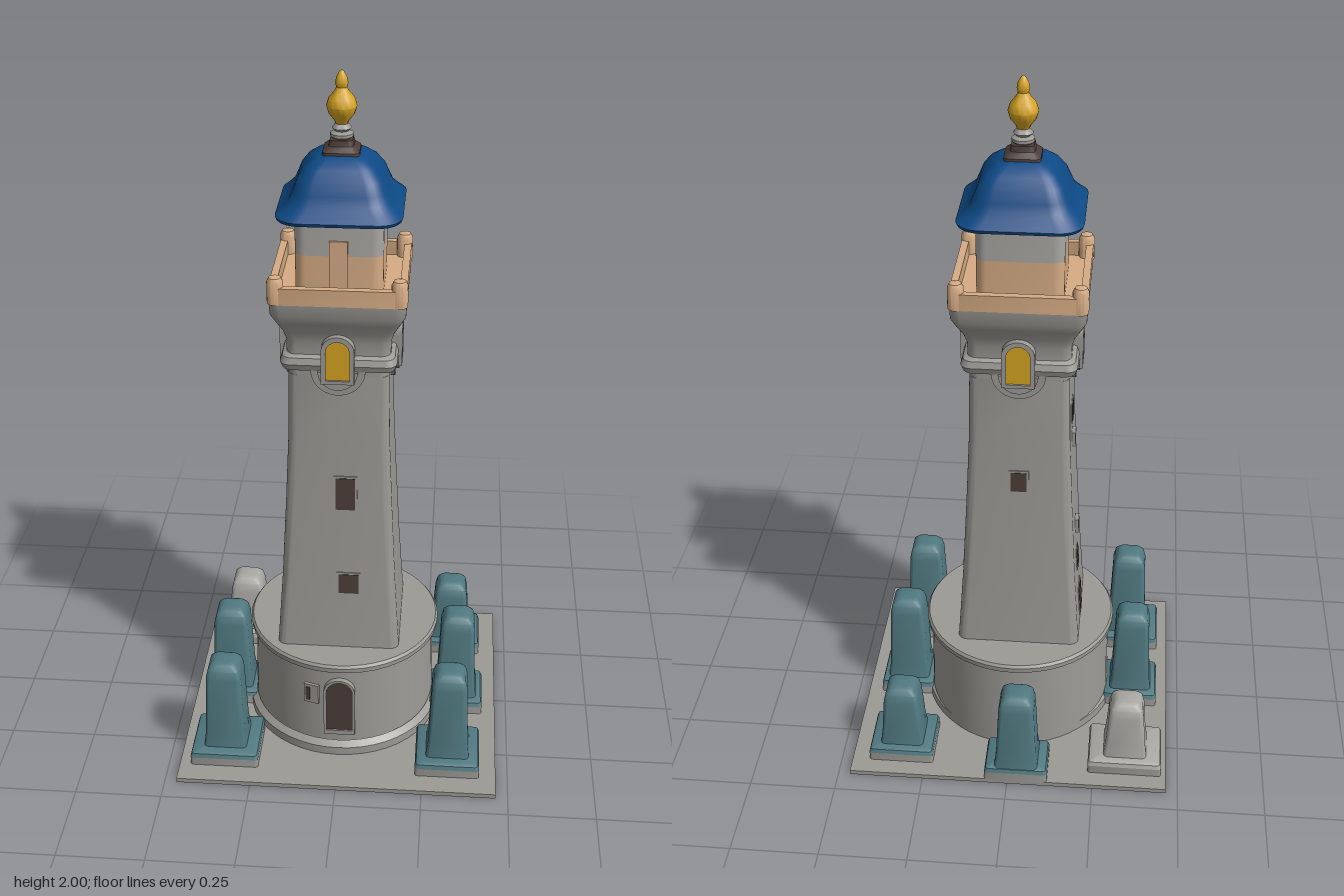
import * as THREE from 'three';
import { toCreasedNormals } from 'three/addons/utils/BufferGeometryUtils.js';

const mat = (name, color, side = THREE.FrontSide) => {
  const m = new THREE.MeshStandardMaterial({ color, side });
  m.name = name;
  return m;
};

// Stack of rounded squares: sections are [half width, y, corner radius, half depth]
function loft(sections, n = 6) {
  const pos = [], idx = [], count = 4 * (n + 1);
  for (const [hx, y, r, hz = hx] of sections) {
    for (let c = 0; c < 4; c++) {
      const sx = c === 0 || c === 3 ? 1 : -1, sz = c < 2 ? 1 : -1;
      for (let i = 0; i <= n; i++) {
        const a = (c + i / n) * Math.PI / 2;
        pos.push(sx * (hx - r) + r * Math.cos(a), y, sz * (hz - r) + r * Math.sin(a));
      }
    }
  }
  const last = sections.length - 1;
  for (let s = 0; s < last; s++) {
    for (let j = 0; j < count; j++) {
      const k = (j + 1) % count, b = s * count, t = b + count;
      idx.push(b + j, t + j, b + k, b + k, t + j, t + k);
    }
  }
  const base = pos.length / 3;
  pos.push(0, sections[0][1], 0, 0, sections[last][1], 0);
  for (let j = 0; j < count; j++) {
    const k = (j + 1) % count;
    idx.push(base, j, k, base + 1, last * count + k, last * count + j);
  }
  const g = new THREE.BufferGeometry();
  g.setAttribute('position', new THREE.Float32BufferAttribute(pos, 3));
  g.setIndex(idx);
  return toCreasedNormals(g, 0.6);
}

const lathe = (points, seg = 48) =>
  toCreasedNormals(new THREE.LatheGeometry(points.map(p => new THREE.Vector2(...p)), seg), 0.6);

// Upright arch outline, standing on y = y0
function archPath(w, y0, h, Type = THREE.Shape) {
  const p = new Type();
  p.moveTo(-w, y0);
  p.lineTo(w, y0);
  p.lineTo(w, y0 + h - w);
  p.absarc(0, y0 + h - w, w, 0, Math.PI, false);
  p.lineTo(-w, y0);
  return p;
}
const extrude = (shape, depth) =>
  new THREE.ExtrudeGeometry(shape, { depth, bevelEnabled: false, curveSegments: 12 });

export function createModel() {
  const model = new THREE.Group();
  model.name = 'lighthouse';
  const stone = mat('stone grey', 0x9c9a95);
  const pale = mat('pale stone', 0xa9a7a3);
  const teal = mat('teal', 0x507880);
  const blue = mat('roof blue', 0x0d4a86);
  const gold = mat('gold', 0xd6a422);
  const tan = mat('sandy tan', 0xd6ac84);
  const brown = mat('dark brown', 0x4c3d38);

  const add = (parent, name, geo, material, x = 0, y = 0, z = 0) => {
    const m = new THREE.Mesh(geo, material);
    m.name = name;
    m.position.set(x, y, z);
    parent.add(m);
    return m;
  };

  // Ground slab and round drum
  add(model, 'groundSlab', new THREE.BoxGeometry(0.93, 0.014, 0.874), stone, 0, 0.007, 0);
  add(model, 'drumFoot', lathe([[0.288, 0.01], [0.288, 0.04], [0.27, 0.055]]), stone, -0.005, 0, 0.012);
  add(model, 'drum', lathe([[0.274, 0.01], [0.268, 0.29], [0.283, 0.3], [0.284, 0.315],
    [0.278, 0.323], [0, 0.323]]), stone, -0.005, 0, -0.008);

  // Entrance
  const doorFrame = archPath(0.046, 0.07, 0.2);
  doorFrame.holes.push(archPath(0.038, 0.085, 0.177, THREE.Path));
  add(model, 'doorFrame', extrude(doorFrame, 0.02), stone, 0, 0, 0.255);
  add(model, 'door', extrude(archPath(0.038, 0.085, 0.177), 0.009), brown, 0, 0, 0.261);
  const niche = new THREE.Group();
  niche.name = 'wallNiche';
  niche.position.set(-0.005, 0.205, -0.008);
  niche.rotation.y = -0.29;
  model.add(niche);
  add(niche, 'nicheFrame', new THREE.BoxGeometry(0.045, 0.065, 0.02), stone, 0, 0, 0.267);
  add(niche, 'nicheOpening', new THREE.BoxGeometry(0.012, 0.045, 0.004), brown, -0.01, 0, 0.278);

  // Tapering square tower with flared head
  const tower = new THREE.Group();
  tower.name = 'tower';
  tower.position.x = -0.011;
  model.add(tower);
  const taper = [[0.179, 0.31], [0.163, 0.55], [0.15, 0.8], [0.141, 1.0], [0.137, 1.2]];
  add(tower, 'shaft', loft(taper.map(([h, y]) => [h, y, 0.025])), stone);
  add(tower, 'head', loft([[0.137, 1.19], [0.137, 1.215], [0.152, 1.222], [0.158, 1.24], [0.152, 1.258],
    [0.141, 1.265], [0.141, 1.3], [0.15, 1.33], [0.168, 1.365], [0.18, 1.39], [0.182, 1.43]]
    .map(([h, y]) => [h, y, 0.028])), stone);

  // Gold windows on every side, with hood and apron
  const hood = archPath(0.045, 1.19, 0.14);
  hood.holes.push(archPath(0.032, 1.2, 0.116, THREE.Path));
  const apron = r => {
    const s = new THREE.Shape();
    s.absarc(0, 1.222, r, Math.PI, Math.PI * 2, false);
    return s;
  };
  const sides = [0, 1, 2, 3].map(k => {
    const side = new THREE.Group();
    side.name = ['frontWall', 'leftWall', 'backWall', 'rightWall'][k];
    side.rotation.y = k * Math.PI / 2;
    tower.add(side);
    add(side, 'windowHood', extrude(hood, 0.035), stone, 0, 0, 0.133);
    add(side, 'goldWindow', extrude(archPath(0.032, 1.2, 0.116), 0.009), gold, 0, 0, 0.153);
    add(side, 'windowApron', extrude(apron(0.074), 0.03), stone, 0, 0, 0.12);
    add(side, 'windowApronInner', extrude(apron(0.054), 0.04), stone, 0, 0, 0.12);
    return side;
  });

  // Small dark windows: [side, offset, y, width, height]
  const halfAt = y => {
    const i = Math.max(1, taper.findIndex(t => t[1] >= y));
    const [h0, y0] = taper[i - 1], [h1, y1] = taper[i];
    return [h0 + (h1 - h0) * (y - y0) / (y1 - y0), (h0 - h1) / (y1 - y0)];
  };
  for (const [k, x, y, w, h] of [[0, 0.02, 0.835, 0.055, 0.1], [0, 0.03, 0.54, 0.058, 0.062],
    [2, 0, 0.875, 0.045, 0.06], [3, -0.03, 1.05, 0.045, 0.05], [3, -0.03, 0.54, 0.04, 0.055],
    [3, -0.02, 0.385, 0.06, 0.085]]) {
    const [z, slope] = halfAt(y);
    const frame = add(sides[k], 'windowFrame', new THREE.BoxGeometry(w + 0.012, h + 0.012, 0.006), stone, x, y, z);
    const pane = add(sides[k], 'darkWindow', new THREE.BoxGeometry(w, h, 0.009), brown, x, y, z);
    frame.rotation.x = pane.rotation.x = -Math.atan(slope);
  }
  for (const y of [0.66, 0.96]) {
    add(sides[3], 'wallBoss', new THREE.BoxGeometry(0.035, 0.045, 0.02), stone, -0.03, y, halfAt(y)[0]);
  }

  // Gallery parapet with corner posts
  add(tower, 'parapet', loft([[0.182, 1.425, 0.02], [0.182, 1.472, 0.02], [0.162, 1.472, 0.012],
    [0.162, 1.432, 0.012]]), tan);
  for (const sx of [-1, 1]) for (const sz of [-1, 1]) {
    add(tower, 'cornerPost', lathe([[0.022, 1.425], [0.022, 1.485], [0.016, 1.497], [0, 1.502]], 16),
      tan, sx * 0.163, 0, sz * 0.163);
  }

  // Lantern room
  add(tower, 'lanternLower', loft([[0.117, 1.43, 0.03], [0.117, 1.54, 0.03]]), tan);
  add(tower, 'lanternUpper', loft([[0.117, 1.54, 0.03], [0.117, 1.645, 0.03]]), pale);
  add(tower, 'lanternDoor', new THREE.BoxGeometry(0.048, 0.15, 0.009), tan, 0, 1.508, 0.118);

  // Bell-shaped roof
  add(tower, 'roof', loft([[0.15, 1.635, 0.06], [0.163, 1.638, 0.065], [0.166, 1.647, 0.065],
    [0.15, 1.662, 0.06], [0.132, 1.682, 0.055], [0.122, 1.705, 0.05], [0.11, 1.735, 0.046],
    [0.09, 1.762, 0.038], [0.065, 1.782, 0.03], [0.045, 1.79, 0.02]]), blue);

  // Finial
  add(tower, 'finialBase', loft([[0.05, 1.78, 0.015], [0.048, 1.795, 0.015], [0.033, 1.808, 0.012],
    [0.03, 1.823, 0.012]]), brown);
  add(tower, 'finialCollar', lathe([[0.02, 1.82], [0.03, 1.828], [0.03, 1.836], [0.018, 1.842],
    [0.026, 1.85], [0.016, 1.862]], 24), stone);
  add(tower, 'finial', lathe([[0.015, 1.858], [0.02, 1.87], [0.034, 1.888], [0.04, 1.908], [0.034, 1.928],
    [0.02, 1.944], [0.014, 1.956], [0.017, 1.967], [0.014, 1.982], [0.006, 1.996], [0, 2]], 24), gold);

  // Ring of bollards on pedestals: [x, z, height, half width, half depth, painted]
  for (const [x, z, h, hx, hz, painted] of [
    [-0.333, 0.28, 0.34, 0.1, 0.094, true], [0.322, 0.28, 0.34, 0.094, 0.094, true],
    [-0.35, 0, 0.33, 0.082, 0.084, true], [0.342, 0, 0.34, 0.082, 0.084, true],
    [-0.025, -0.368, 0.3, 0.092, 0.069, true], [0.32, -0.3, 0.25, 0.095, 0.086, true],
    [-0.342, -0.3, 0.24, 0.108, 0.086, false]]) {
    const b = new THREE.Group();
    b.name = 'bollard';
    b.position.set(x, 0, z);
    model.add(b);
    const paint = painted ? teal : pale;
    add(b, 'pedestal', loft([[hx, 0.01, 0.008, hz], [hx, 0.04, 0.008, hz]], 3), stone);
    add(b, 'pedestalTop', loft([[hx, 0.04, 0.008, hz], [hx - 0.004, 0.052, 0.008, hz - 0.004],
      [hx - 0.015, 0.058, 0.008, hz - 0.015]], 3), paint);
    add(b, 'bollardBody', loft([[0.064, 0.05, 0.014], [0.058, 0.1, 0.014], [0.051, h - 0.045, 0.014],
      [0.045, h - 0.018, 0.014], [0.034, h - 0.004, 0.014], [0.022, h, 0.012]], 4), paint);
  }
  return model;
}
